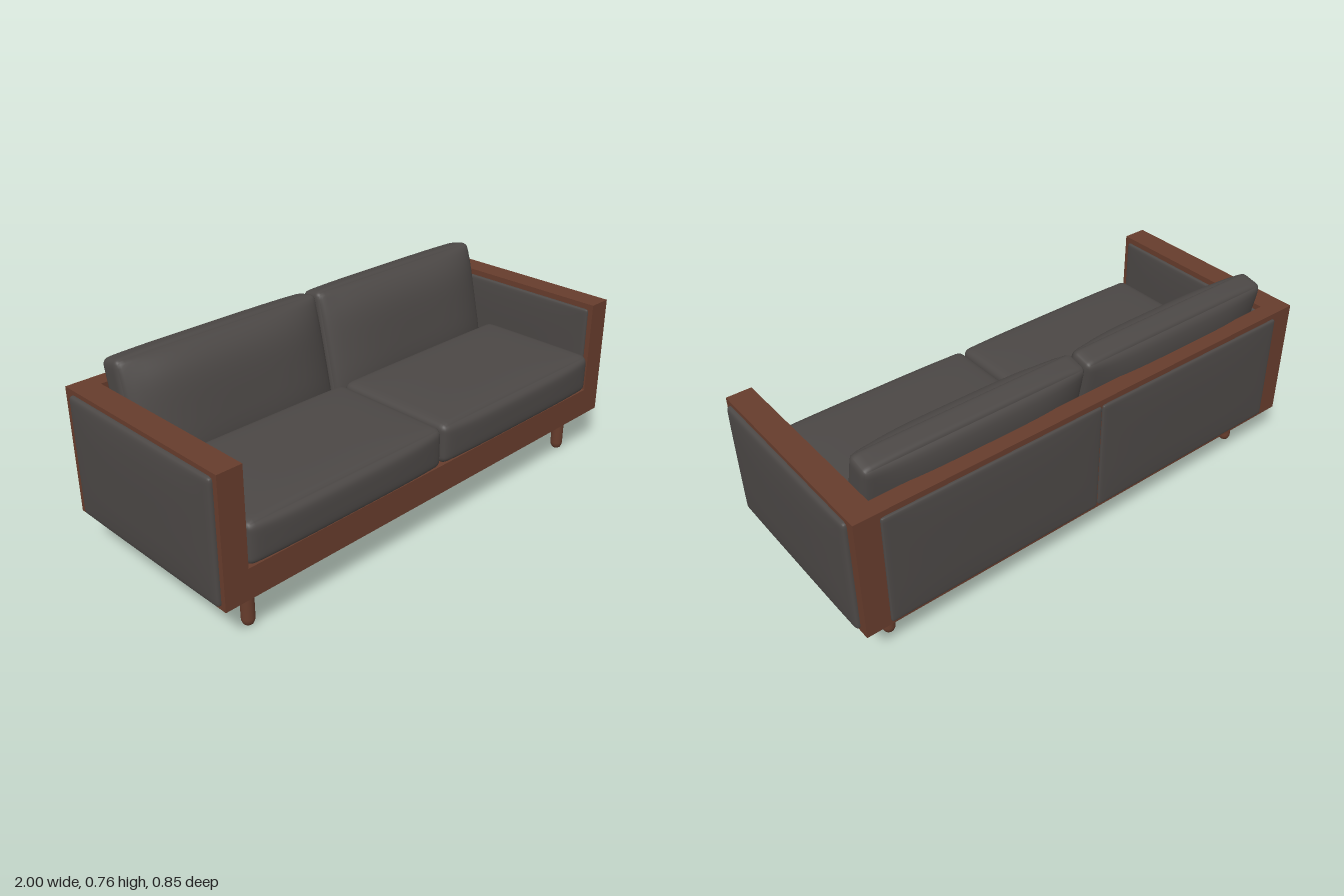
import * as THREE from 'three';
import { mergeVertices } from 'three/addons/utils/BufferGeometryUtils.js';

const wood = new THREE.MeshStandardMaterial({ color: 0x663c2c });
wood.name = 'walnut wood';
const fabric = new THREE.MeshStandardMaterial({ color: 0x4b4745 });
fabric.name = 'charcoal fabric';

// Soft padded block: rounded edges (radius r) with each face swelling by its bulge.
// bulge = [+x, -x, +y, -y, +z, -z]
function cushion(w, h, d, r, bulge) {
  const half = [w / 2, h / 2, d / 2];
  const geo = new THREE.BoxGeometry(2, 2, 2, 24, 24, 24);
  const pos = geo.attributes.position;
  const p = new THREE.Vector3(), core = new THREE.Vector3();
  const inner = new THREE.Vector3(...half).subScalar(r);
  for (let i = 0; i < pos.count; i++) {
    p.fromBufferAttribute(pos, i);
    // crowd the grid lines toward the edges, where the curvature is
    const u = p.toArray().map((v) => Math.sin((v * Math.PI) / 2));
    p.set(u[0] * half[0], u[1] * half[1], u[2] * half[2]);
    core.copy(p).clamp(inner.clone().negate(), inner);
    p.sub(core).normalize().multiplyScalar(r).add(core);
    const swell = [0, 1, 2].map((a) => {
      const b = u[(a + 1) % 3], c = u[(a + 2) % 3];
      return u[a] * bulge[a * 2 + (u[a] < 0 ? 1 : 0)] * (1 - b ** 4) * (1 - c ** 4);
    });
    p.add(new THREE.Vector3(...swell));
    pos.setXYZ(i, p.x, p.y, p.z);
  }
  geo.deleteAttribute('uv');
  geo.deleteAttribute('normal');
  const smooth = mergeVertices(geo, 1e-5);
  smooth.computeVertexNormals();
  return smooth;
}

export function createModel() {
  const sofa = new THREE.Group();
  sofa.name = 'sofa';

  const add = (name, geo, mat, x, y, z) => {
    const mesh = new THREE.Mesh(geo, mat);
    mesh.name = name;
    mesh.position.set(x, y, z);
    sofa.add(mesh);
    return mesh;
  };
  // box given by its limits
  const slab = (name, x0, x1, y0, y1, z0, z1) =>
    add(name, new THREE.BoxGeometry(x1 - x0, y1 - y0, z1 - z0), wood,
      (x0 + x1) / 2, (y0 + y1) / 2, (z0 + z1) / 2);

  // wooden frame
  slab('base', -0.88, 0.88, 0.165, 0.28, -0.41, 0.4);
  slab('backFrame', -0.88, 0.88, 0.28, 0.647, -0.41, -0.345);
  slab('rightArm', -0.975, -0.88, 0.165, 0.647, -0.41, 0.4);
  slab('leftArm', 0.88, 0.975, 0.165, 0.647, -0.41, 0.4);

  // shared upholstery shapes
  const seatGeo = cushion(0.875, 0.16, 0.515, 0.03, [0, 0, 0.012, 0, 0.018, 0]);
  const backGeo = cushion(0.875, 0.475, 0.1, 0.025, [0, 0, 0.006, 0, 0.075, 0.04]);
  const rearGeo = cushion(0.88, 0.445, 0.02, 0.009, [0, 0, 0, 0, 0, 0.007]);
  const sideGeo = cushion(0.03, 0.455, 0.755, 0.014, [0.01, 0.01, 0, 0, 0, 0]);
  const innerGeo = cushion(0.02, 0.345, 0.72, 0.009, [0.006, 0.006, 0, 0, 0, 0]);

  // leg: collar, straight shaft and rounded foot
  const legGeo = new THREE.LatheGeometry([
    [0, 0], [0.01, 0.002], [0.018, 0.008], [0.023, 0.02], [0.024, 0.03], [0.024, 0.138],
    [0.028, 0.141], [0.03, 0.146], [0.03, 0.158], [0.034, 0.162], [0.034, 0.168],
  ].map(([x, y]) => new THREE.Vector2(x, y)), 24);

  for (const s of [-1, 1]) {
    const side = s < 0 ? 'right' : 'left';
    add(side + 'SeatCushion', seatGeo, fabric, s * 0.441, 0.357, 0.148);
    add(side + 'BackCushion', backGeo, fabric, s * 0.441, 0.52, -0.238).rotation.x = -0.22;
    add(side + 'RearPanel', rearGeo, fabric, s * 0.443, 0.402, -0.41);
    add(side + 'OuterArmPanel', sideGeo, fabric, s * 0.975, 0.403, 0.003);
    add(side + 'InnerArmPanel', innerGeo, fabric, s * 0.88, 0.452, 0.02);
    add(side + 'FrontLeg', legGeo, wood, s * 0.833, 0, 0.32);
    add(side + 'BackLeg', legGeo, wood, s * 0.833, 0, -0.295);
  }
  return sofa;
}
